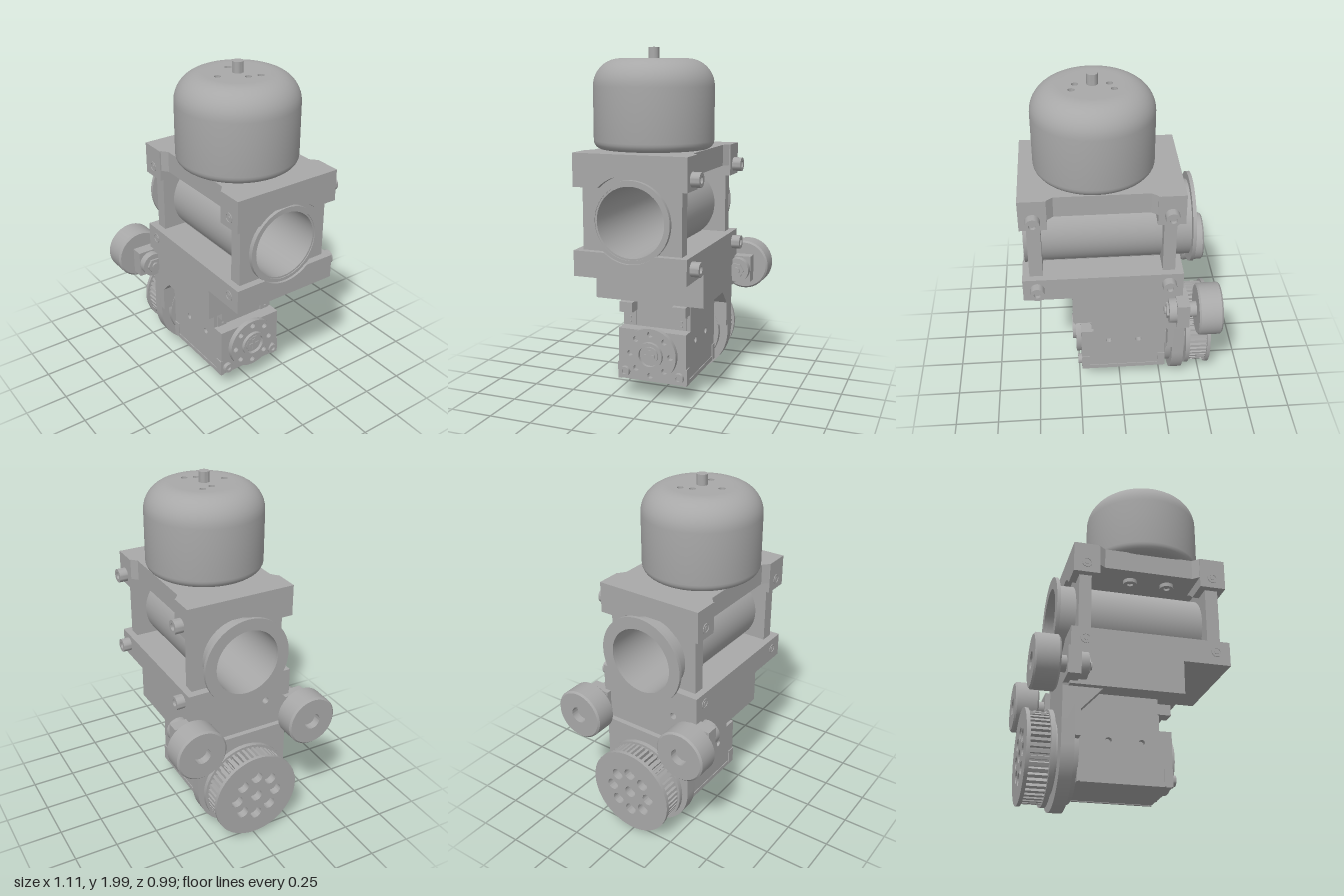
import * as THREE from 'three';
import { toCreasedNormals } from 'three/addons/utils/BufferGeometryUtils.js';

export function createModel() {
  const model = new THREE.Group();
  const gray = new THREE.MeshStandardMaterial({ color: 0xa8a8a8 });
  gray.name = 'machined gray';

  const add = (name, geo) => {
    const mesh = new THREE.Mesh(geo, gray);
    mesh.name = name;
    model.add(mesh);
    return mesh;
  };
  const box = (name, x0, x1, y0, y1, z0, z1) =>
    add(name, new THREE.BoxGeometry(x1 - x0, y1 - y0, z1 - z0)
      .translate((x0 + x1) / 2, (y0 + y1) / 2, (z0 + z1) / 2));

  // Turned part: profile of [radius, position along axis], counter-clockwise
  const turn = (name, profile, axis, x, y, z, sides = 48) => {
    let g = new THREE.LatheGeometry(profile.map(p => new THREE.Vector2(...p)), sides);
    if (axis === 'x') g.rotateZ(-Math.PI / 2);
    if (axis === 'z') g.rotateX(Math.PI / 2);
    g = toCreasedNormals(g, 0.6);
    return add(name, g.translate(x, y, z));
  };
  const rod = (name, r, a, b, axis, x, y, z, sides = 24) =>
    turn(name, [[0, a], [r, a], [r, b], [0, b]], axis, x, y, z, sides);
  const ring = (name, r0, r1, a, b, axis, x, y, z) =>
    turn(name, [[r0, a], [r1, a], [r1, b], [r0, b], [r0, a]], axis, x, y, z);

  // Extrusion from a to b; x uses (-z, y), y uses (x, -z), z uses (x, y)
  const extrude = (name, shape, axis, a, b) => {
    let g = new THREE.ExtrudeGeometry(shape, { depth: b - a, bevelEnabled: false, curveSegments: 24 });
    g.translate(0, 0, a);
    if (axis === 'x') g.rotateY(Math.PI / 2);
    if (axis === 'y') g.rotateX(-Math.PI / 2);
    return add(name, toCreasedNormals(g, 0.5));
  };
  const poly = pts => new THREE.Shape(pts.map(p => new THREE.Vector2(...p)));
  const disc = (r, x, y) => new THREE.Shape().absarc(x, y, r, 0, Math.PI * 2, false);
  const hole = (shape, r, x, y) => {
    shape.holes.push(new THREE.Path().absarc(x, y, r, 0, Math.PI * 2, true));
    return shape;
  };
  const around = (n, r, fn) => {
    for (let i = 0; i < n; i++) fn(r * Math.cos(i * 2 * Math.PI / n), r * Math.sin(i * 2 * Math.PI / n));
  };

  // Motor can with rounded shoulders
  const can = [[0, 1.45], [0.28, 1.45]];
  for (let i = 1; i <= 6; i++) {
    const t = i * Math.PI / 12;
    can.push([0.28 + 0.053 * Math.sin(t), 1.5 - 0.05 * Math.cos(t)]);
  }
  for (let i = 0; i <= 10; i++) {
    const t = i * Math.PI / 20;
    can.push([0.183 + 0.15 * Math.cos(t), 1.79 + 0.15 * Math.sin(t)]);
  }
  can.push([0.17, 1.94], [0.17, 1.91], [0, 1.91]);
  turn('motorCan', can, 'y', 0.13, 0, 0.025, 72);
  const cap = disc(0.172, 0.13, -0.025);
  [[0.02, -0.04], [0.24, -0.04], [0.04, 0.023], [0.22, 0.023], [0.13, 0.15]]
    .forEach(([x, z]) => hole(cap, 0.018, x, -z));
  extrude('motorCap', cap, 'y', 1.91, 1.94);
  rod('motorShaft', 0.03, 1.9, 2.0, 'y', 0.13, 0, 0.025);

  // Upper clamp: plate with recessed sides and arched end blocks
  const top = [[-0.34, 0.32], [-0.2, 0.32], [-0.155, 0.285], [0.36, 0.285], [0.4, 0.32], [0.545, 0.32]];
  extrude('upperPlate', poly([...top, ...top.map(([x, z]) => [x, -z]).reverse()]), 'y', 1.335, 1.455);
  const arch = new THREE.Shape();
  arch.moveTo(-0.32, 1.275);
  arch.lineTo(-0.178, 1.275);
  arch.absarc(0, 1.1, 0.25, Math.PI - 0.775, 0.775, true);
  arch.lineTo(0.32, 1.275);
  arch.lineTo(0.32, 1.454);
  arch.lineTo(-0.32, 1.454);
  extrude('upperEndBlock', arch, 'x', -0.34, -0.19);
  extrude('upperEndBlock', arch, 'x', 0.395, 0.545);
  for (const x of [0.02, 0.24]) for (const z of [-0.17, 0.17])
    turn('motorScrew', [[0, 1.325], [0.018, 1.325], [0.018, 1.312], [0.04, 1.312], [0.04, 1.34], [0, 1.34]], 'y', x, 0, z, 20);

  // Lower clamp: saddle overhang and deeper drilled block
  const saddle = bottom => {
    const s = new THREE.Shape();
    s.moveTo(-0.32, bottom);
    s.lineTo(0.32, bottom);
    s.lineTo(0.32, 0.935);
    s.lineTo(0.142, 0.935);
    s.absarc(0, 1.1, 0.218, -0.86, -Math.PI + 0.86, true);
    s.lineTo(-0.32, 0.935);
    return s;
  };
  extrude('lowerSaddle', saddle(0.795), 'x', 0.28, 0.55);
  extrude('lowerBlock', hole(saddle(0.605), 0.02, -0.165, 0.77), 'x', -0.345, 0.28);
  turn('blockScrew', [[0, 0.27], [0.033, 0.27], [0.033, 0.318], [0.018, 0.318], [0.018, 0.298], [0, 0.298]], 'x', 0, 0.77, -0.165, 24);

  // Ring plates joining the clamps
  for (const [a, b] of [[-0.3, -0.23], [0.435, 0.51]])
    extrude('ringPlate', hole(poly([[-0.28, 0.87], [0.28, 0.87], [0.28, 1.37], [-0.28, 1.37]]), 0.208, 0, 1.1), 'x', a, b);

  // Hollow tube with end flange
  ring('tube', 0.19, 0.214, -0.4, 0.53, 'x', 0, 1.1, 0);
  ring('tubeFlange', 0.19, 0.258, -0.415, -0.395, 'x', 0, 1.1, 0);
  ring('tubeLip', 0.2, 0.222, 0.505, 0.535, 'x', 0, 1.1, 0);

  // Clamp screws: socket heads behind, threaded ends in front
  for (const x of [-0.265, 0.47]) for (const y of [1.335, 0.87]) {
    turn('clampScrewHead', [[0, -0.35], [0.02, -0.35], [0.02, -0.37], [0.04, -0.37], [0.04, -0.31], [0, -0.31]], 'z', x, y, 0, 28);
    ring('clampScrewSeat', 0.022, 0.029, 0.31, 0.324, 'z', x, y, 0);
    rod('clampScrewEnd', 0.012, 0.31, 0.323, 'z', x, y, 0, 6);
  }

  // Guide rollers and their arms, mirrored front to back
  for (const s of [-1, 1]) {
    const z = s * 0.347;
    turn('roller', [[0, -0.51], [0.048, -0.51], [0.048, -0.555], [0.138, -0.555], [0.148, -0.545],
      [0.148, -0.43], [0.138, -0.42], [0, -0.42]], 'x', 0, 0.696, z);
    rod('rollerAxle', 0.045, -0.425, -0.37, 'x', 0, 0.696, z);
    const [z0, z1] = [s * 0.28, s * 0.42].sort((a, b) => a - b);
    box('rollerArm', -0.375, -0.305, 0.62, 0.775, z0, z1);
    rod('rollerBoss', 0.072, -0.31, -0.262, 'x', 0, 0.696, z);
    rod('rollerNut', 0.046, -0.27, -0.25, 'x', 0, 0.696, z, 6);
    rod('rollerBolt', 0.022, -0.26, -0.238, 'x', 0, 0.696, z, 16);
  }

  // Rounded mount plate with side gussets
  const mount = new THREE.Shape();
  mount.moveTo(0.283, 0.606);
  mount.lineTo(-0.283, 0.606);
  mount.lineTo(-0.283, 0.293);
  mount.absarc(0, 0.293, 0.283, Math.PI, Math.PI * 2, false);
  extrude('mountPlate', mount, 'x', -0.375, -0.305);
  rod('mountStep', 0.235, -0.31, -0.272, 'x', 0, 0.293, 0, 48);
  for (const z of [-0.283, 0.2])
    extrude('mountGusset', poly([[-0.31, 0.34], [-0.275, 0.34], [-0.275, 0.485], [-0.16, 0.606], [-0.31, 0.606]]), 'z', z, z + 0.083);

  // Toothed pulley between two flanges
  const teeth = [];
  const count = 48;
  for (let i = 0; i < count; i++)
    [[0, 0.246], [0.5, 0.246], [0.6, 0.222], [0.9, 0.222]].forEach(([k, r]) => {
      const t = (i + k) * 2 * Math.PI / count;
      teeth.push([r * Math.cos(t), 0.293 + r * Math.sin(t)]);
    });
  extrude('pulleyTeeth', poly(teeth), 'x', -0.5, -0.415);
  const drill = shape => {
    hole(shape, 0.035, 0, 0.293);
    around(8, 0.125, (u, v) => hole(shape, 0.035, u, 0.293 + v));
    return shape;
  };
  extrude('pulleyTeethRim', drill(poly(teeth)), 'x', -0.525, -0.5);
  extrude('pulleyOuterFlange', drill(disc(0.26, 0, 0.293)), 'x', -0.545, -0.525);
  rod('pulleyInnerFlange', 0.26, -0.42, -0.395, 'x', 0, 0.293, 0, 48);
  rod('pulleyHub', 0.2, -0.4, -0.37, 'x', 0, 0.293, 0, 40);

  // Servo body with drilled sides
  const body = poly([[-0.275, 0.125], [0.235, 0.125], [0.235, 0.425], [0.16, 0.425], [0.16, 0.607], [-0.275, 0.607]]);
  hole(body, 0.018, -0.11, 0.35);
  hole(body, 0.018, 0.07, 0.35);
  extrude('servoBody', body, 'z', -0.205, 0.205);
  box('servoCore', -0.26, 0.15, 0.14, 0.41, -0.175, 0.175);
  for (const s of [-1, 1]) {
    const span = (a, b) => s > 0 ? [a, b] : [-b, -a];
    box('servoTab', 0.15, 0.235, 0.52, 0.58, ...span(0.12, 0.2));
    box('servoConnector', 0.15, 0.172, 0.43, 0.53, ...span(0.125, 0.185));
    for (let i = 0; i < 3; i++) box('connectorPin', 0.17, 0.18, 0.445 + i * 0.027, 0.455 + i * 0.027, ...span(0.15, 0.16));
    for (const x of [-0.275, 0.19]) box('servoFoot', x, x + 0.046, 0.124, 0.222, ...span(0.2, 0.211));
    box('servoBaseRail', -0.275, 0.236, 0.122, 0.148, ...span(0.19, 0.209));
    turn('servoCornerScrew', [[0, 0.245], [0.014, 0.245], [0.014, 0.258], [0.03, 0.258], [0.03, 0.23], [0, 0.23]].map(([r, t]) => [r, t]).reverse(),
      'x', 0, 0.17, s * 0.165, 20).geometry.index;
  }

  // Servo horn with bolt circle and centre screw
  const horn = disc(0.155, 0, 0.293);
  around(8, 0.122, (u, v) => hole(horn, 0.017, u, 0.293 + v));
  extrude('servoHorn', horn, 'x', 0.235, 0.265);
  ring('hornHub', 0.062, 0.078, 0.26, 0.285, 'x', 0, 0.293, 0);
  rod('hornScrew', 0.05, 0.26, 0.276, 'x', 0, 0.293, 0);
  box('hornScrewCross', 0.27, 0.28, 0.285, 0.301, -0.035, 0.035);
  box('hornScrewCross', 0.27, 0.28, 0.258, 0.328, -0.008, 0.008);

  return model;
}
